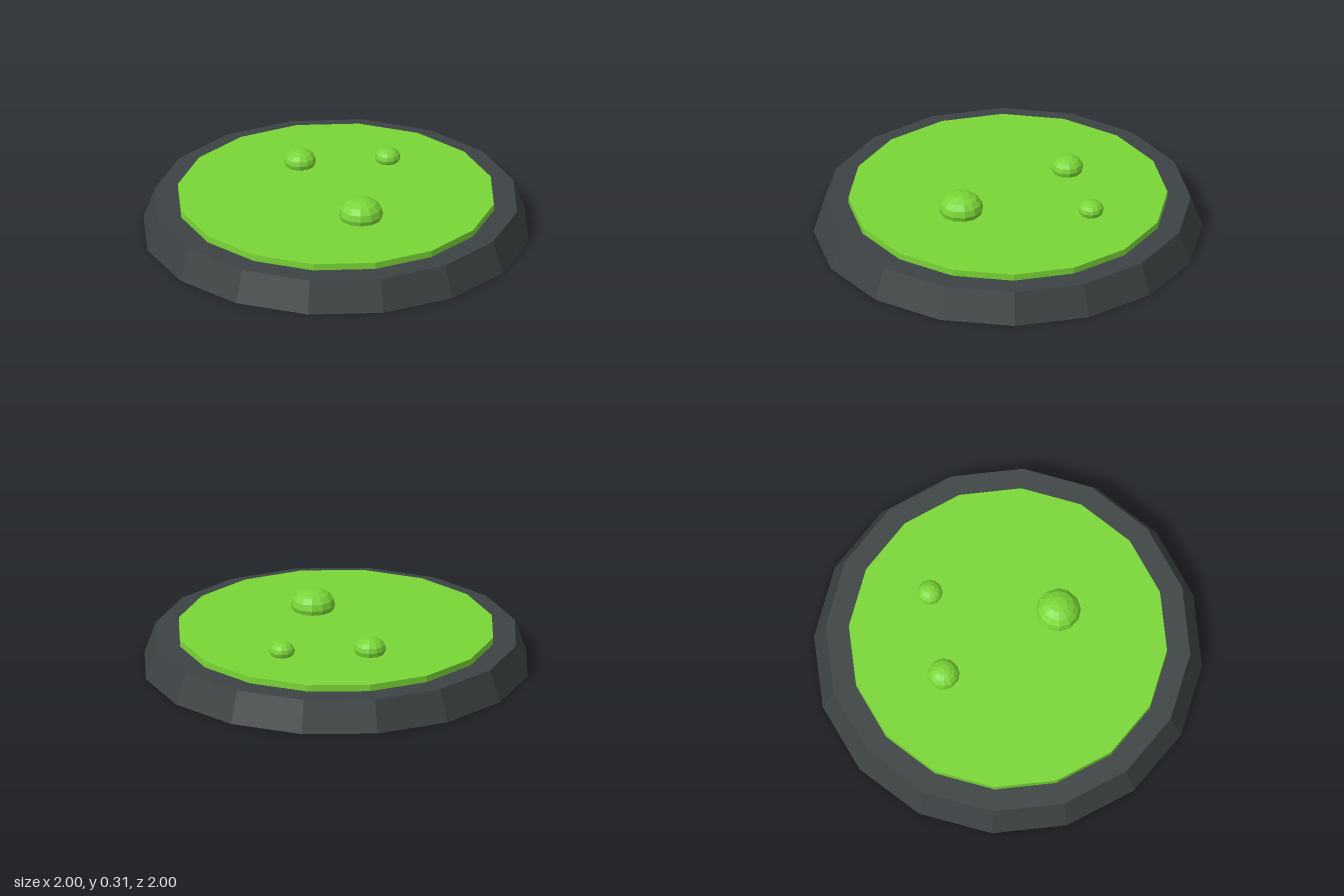
import * as THREE from 'three';

const stone = new THREE.MeshStandardMaterial({ color: 0x3d4344, flatShading: true });
stone.name = 'dark stone';
const slime = new THREE.MeshStandardMaterial({ color: 0x7ad636, flatShading: true });
slime.name = 'green slime';

const SIDES = 16;
const BASE_HEIGHT = 0.165;
const SLIME_TOP = 0.2;

function addPart(group, name, geometry, material, x, y, z) {
  const mesh = new THREE.Mesh(geometry, material);
  mesh.name = name;
  mesh.position.set(x, y, z);
  group.add(mesh);
  return mesh;
}

export function createModel() {
  const group = new THREE.Group();
  group.name = 'slimePool';

  // Tapered stone base
  addPart(group, 'stoneBase', new THREE.CylinderGeometry(0.94, 1, BASE_HEIGHT, SIDES),
    stone, 0, BASE_HEIGHT / 2, 0);

  // Slime disc lying on the base
  const depth = SLIME_TOP - BASE_HEIGHT;
  addPart(group, 'slimeDisc', new THREE.CylinderGeometry(0.82, 0.82, depth, SIDES),
    slime, 0, BASE_HEIGHT + depth / 2, 0);

  // Flattened bubbles half sunk in the slime: x, z, radius
  const bubbles = [
    [0.247, 0.165, 0.115],
    [-0.335, -0.2, 0.083],
    [0.03, -0.467, 0.066],
  ];
  bubbles.forEach(([x, z, radius], i) => {
    const bubble = addPart(group, `bubble${i + 1}`, new THREE.SphereGeometry(radius, 12, 8),
      slime, x, 0.224, z);
    bubble.scale.y = 0.72;
  });

  return group;
}
